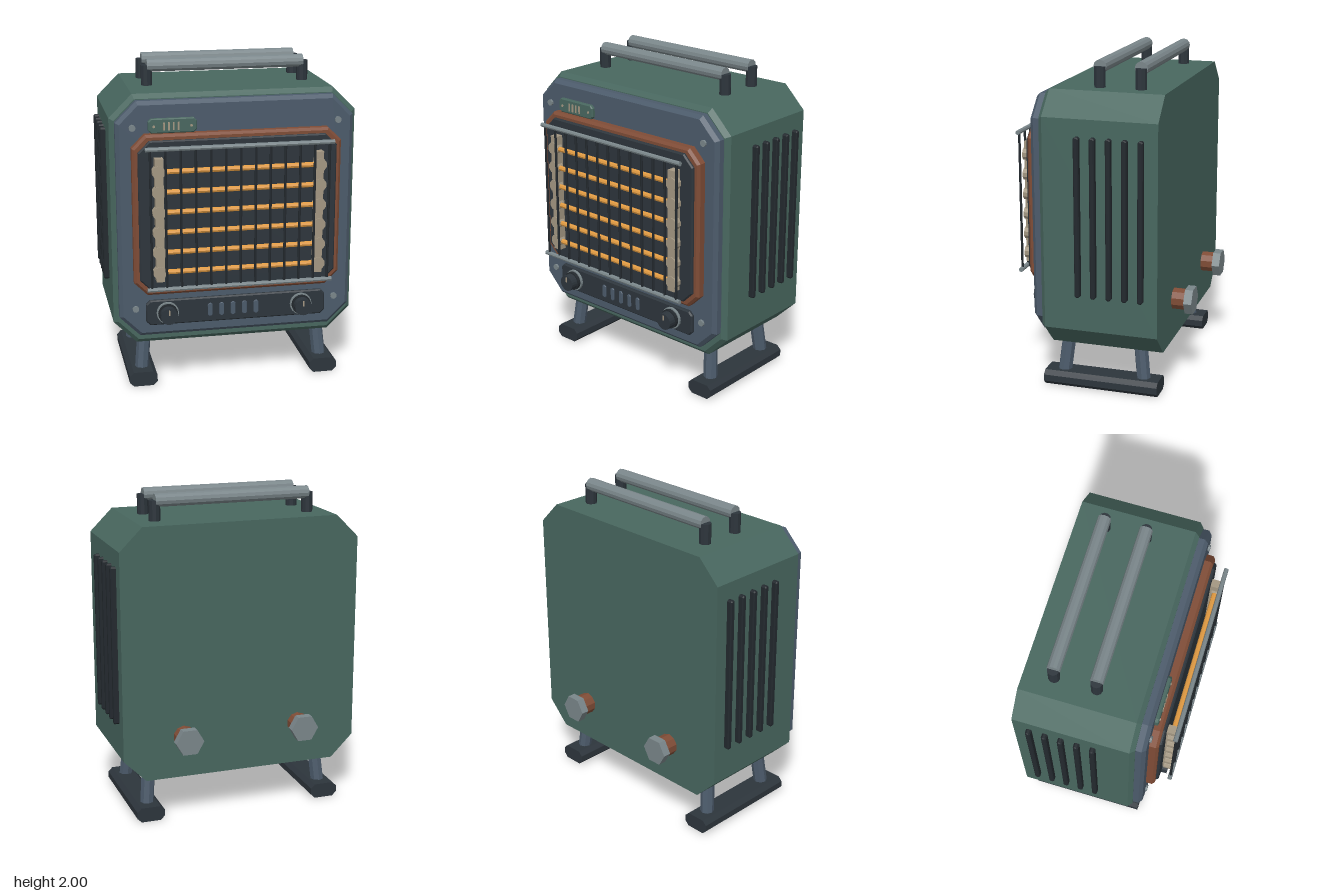
import * as THREE from 'three';

const mat = (name, color) => {
  const m = new THREE.MeshStandardMaterial({ color });
  m.name = name;
  m.flatShading = true;
  return m;
};

export function createModel() {
  const green = mat('green enamel', 0x48675f);
  const slate = mat('slate blue', 0x4c5b6b);
  const charcoal = mat('charcoal', 0x2d353c);
  const black = mat('black iron', 0x23292e);
  const copper = mat('copper', 0x7f4c36);
  const steel = mat('steel', 0x7a868a);
  const ceramic = mat('ceramic', 0xa39782);
  const glow = mat('glowing orange', 0xe09a42);

  const model = new THREE.Group();
  model.name = 'heater';
  const add = (name, geo, material, x = 0, y = 0, z = 0, parent = model) => {
    const mesh = new THREE.Mesh(geo, material);
    mesh.name = name;
    mesh.position.set(x, y, z);
    parent.add(mesh);
    return mesh;
  };

  // Corner-cut block lofted along z; each section is [z, inset]
  const cutBlock = (w, h, cut, sections) => {
    const rings = sections.map(([z, d]) => {
      const a = w / 2 - d, b = h / 2 - d, c = Math.max(cut - 0.586 * d, 0.001);
      return [[a, c - b], [a, b - c], [a - c, b], [c - a, b], [-a, b - c], [-a, c - b], [c - a, -b], [a - c, -b]]
        .map(([x, y]) => [x, y, z]);
    });
    const pos = [];
    const tri = (...p) => p.forEach(v => pos.push(...v));
    for (let r = 0; r + 1 < rings.length; r++) {
      for (let i = 0; i < 8; i++) {
        const j = (i + 1) % 8, A = rings[r], B = rings[r + 1];
        tri(A[i], A[j], B[j]);
        tri(A[i], B[j], B[i]);
      }
    }
    const back = rings[0], front = rings[rings.length - 1];
    for (let i = 1; i < 7; i++) {
      tri(front[0], front[i], front[i + 1]);
      tri(back[0], back[i + 1], back[i]);
    }
    const g = new THREE.BufferGeometry();
    g.setAttribute('position', new THREE.Float32BufferAttribute(pos, 3));
    g.computeVertexNormals();
    return g;
  };
  const plate = (w, h, cut, z0, z1, bevel) => cutBlock(w, h, cut, [[z0, 0], [z1 - bevel, 0], [z1, bevel]]);

  // Cylinders along each axis, and one between two points
  const cylY = (r, len, n = 10) => new THREE.CylinderGeometry(r, r, len, n);
  const cylZ = (r, len, n = 10) => cylY(r, len, n).rotateX(Math.PI / 2);
  const cylX = (r, len, n = 10) => cylY(r, len, n).rotateZ(Math.PI / 2);
  const strut = (name, a, b, r, n, material) => {
    const A = new THREE.Vector3(...a), B = new THREE.Vector3(...b), d = B.clone().sub(A);
    const m = add(name, cylY(r, d.length(), n), material);
    m.position.copy(A).add(B).multiplyScalar(0.5);
    m.quaternion.setFromUnitVectors(new THREE.Vector3(0, 1, 0), d.normalize());
  };

  // Casing and stepped front
  add('casing', plate(1.5, 1.56, 0.14, -0.405, 0.317, 0.027), green, 0, 1.06);
  add('frontBezel', plate(1.44, 1.46, 0.125, 0.3, 0.375, 0.022), slate, 0, 1.078);
  add('copperFrame', plate(1.265, 0.99, 0.08, 0.37, 0.43, 0.015), copper, 0, 1.125);
  add('heatPanel', plate(1.2, 0.925, 0.07, 0.42, 0.447, 0.008), charcoal, 0, 1.125);

  // Glowing rods with ceramic holders
  for (let i = 0; i < 6; i++) {
    const y = 0.793 + i * 0.1235;
    add('heatingRod', cylX(0.016, 0.9, 8), glow, 0, y, 0.48);
    for (const s of [-1, 1]) add('rodHolder', cylZ(0.04, 0.045), ceramic, s * 0.486, y, 0.481);
  }
  for (const s of [-1, 1]) {
    add('ceramicStrip', new THREE.BoxGeometry(0.05, 0.755, 0.052), ceramic, s * 0.482, 1.113, 0.471);
  }

  // Front guard
  for (let i = 0; i < 13; i++) add('guardBar', cylY(0.008, 0.86, 6), black, (i - 6) * 0.0895, 1.123, 0.513);
  for (const y of [0.695, 1.553]) add('guardRail', cylX(0.014, 1.13, 8), steel, 0, y, 0.513);

  // Name tag plate with blank strokes
  add('tagPlate', plate(0.29, 0.088, 0.018, 0.37, 0.397, 0.006), green, -0.385, 1.664);
  for (let i = 0; i < 4; i++) add('tagStroke', new THREE.BoxGeometry(0.01, 0.048, 0.006), ceramic, -0.436 + i * 0.0285, 1.662, 0.399);
  for (const x of [-0.497, -0.274]) add('tagRivet', cylZ(0.008, 0.006, 8), ceramic, x, 1.662, 0.399);

  // Bezel screws
  for (const x of [-0.622, 0.622]) {
    for (const y of [0.53, 1.655]) add('bezelScrew', cylZ(0.02, 0.02), steel, x, y, 0.378);
  }

  // Control panel, indicator slots and knobs
  add('controlPanel', plate(1.12, 0.16, 0.025, 0.37, 0.395, 0.008), charcoal, 0, 0.502);
  for (let i = 0; i < 5; i++) {
    add('indicator', plate(0.03, 0.085, 0.009, 0.39, 0.402, 0.003), slate, -0.166 + i * 0.0718, 0.502);
  }
  for (const x of [-0.43, 0.405]) {
    const knob = new THREE.Group();
    knob.name = 'knob';
    knob.position.set(x, 0.502, 0);
    model.add(knob);
    add('knobRing', cylZ(0.068, 0.02, 20), steel, 0, 0, 0.4, knob);
    add('knobSkirt', cylZ(0.06, 0.03, 20), black, 0, 0, 0.415, knob);
    add('knobCap', cylZ(0.052, 0.05, 20), charcoal, 0, 0, 0.451, knob);
    add('knobPointer', new THREE.BoxGeometry(0.008, 0.032, 0.006), ceramic, 0, 0.025, 0.477, knob);
  }

  // Side vents
  for (const s of [-1, 1]) {
    for (let i = 0; i < 5; i++) {
      const g = plate(0.032, 0.965, 0.009, 0, 0.042, 0.006).rotateY(s * Math.PI / 2);
      add('sideVent', g, black, s * 0.741, 1.117, 0.075 - i * 0.0958);
    }
  }

  // Twin carry handles
  for (const z of [0.022, -0.228]) {
    add('handleBar', cylX(0.04, 0.97, 12), steel, 0, 1.96, z);
    for (const s of [-1, 1]) add('handlePost', cylY(0.035, 0.14, 10), charcoal, s * 0.485, 1.892, z);
  }

  // Legs and skid feet
  for (const s of [-1, 1]) {
    strut('frontLeg', [s * 0.576, 0.07, 0.23], [s * 0.553, 0.32, 0.202], 0.043, 8, slate);
    strut('rearLeg', [s * 0.576, 0.07, -0.277], [s * 0.553, 0.32, -0.249], 0.043, 8, slate);
    add('skidFoot', cutBlock(0.174, 0.092, 0.026, [[-0.38, 0], [0.338, 0]]), charcoal, s * 0.577, 0.046);
  }

  // Rear pipe stubs with hex caps
  for (const s of [-1, 1]) {
    add('pipeStub', cylZ(0.066, 0.1, 10), copper, s * 0.371, 0.543, -0.44);
    add('hexCap', cylZ(0.088, 0.05, 6).rotateZ(Math.PI / 6), steel, s * 0.371, 0.543, -0.51);
  }

  return model;
}
